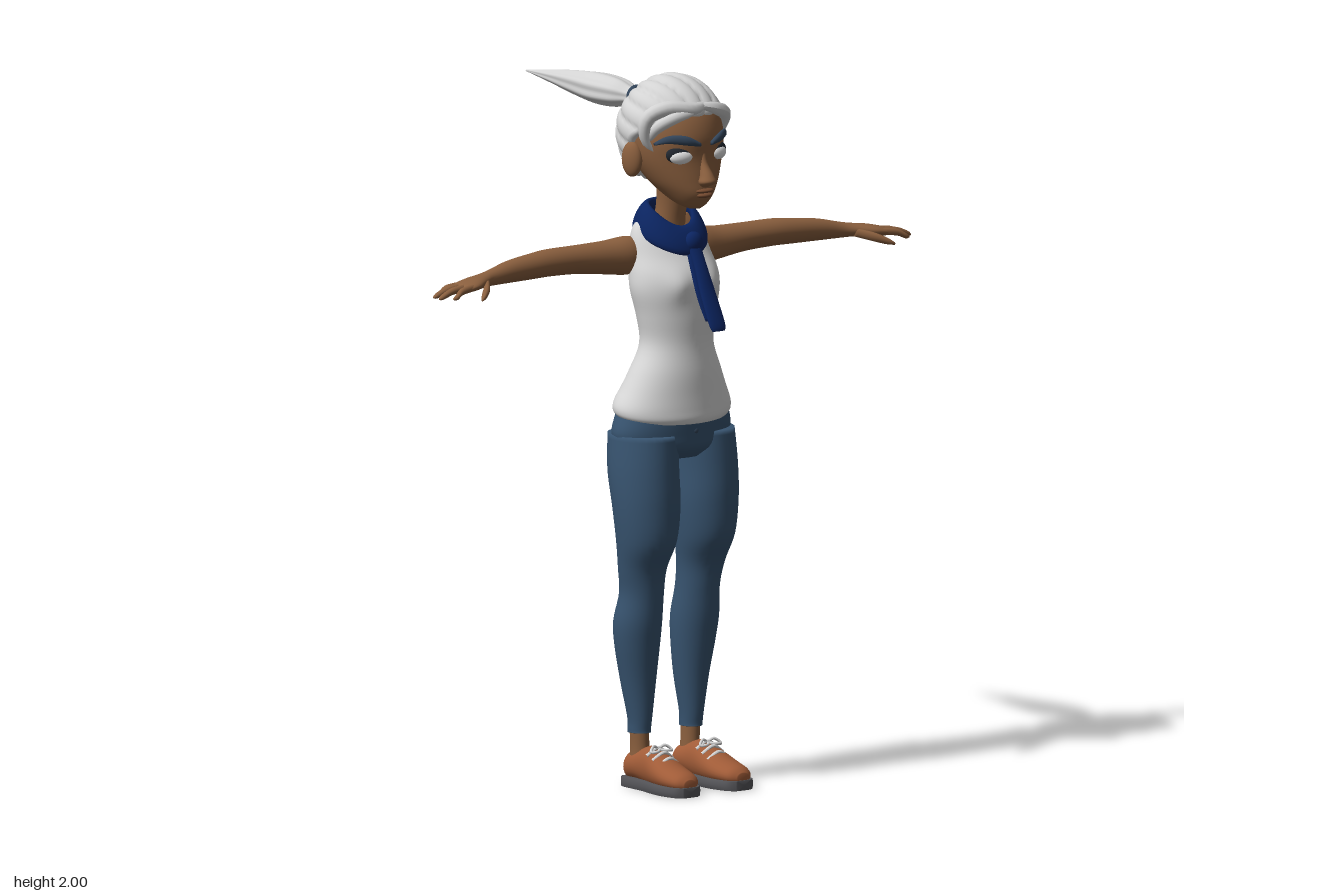
import * as THREE from 'three';

const V = (x, y, z) => new THREE.Vector3(x, y, z);
const mat = (name, color) => {
  const m = new THREE.MeshStandardMaterial({ color });
  m.name = name;
  return m;
};

// Smooth surface from a rule f(u, v): u wraps around, v runs along (and may wrap)
function grid(nu, nv, f, wrapV = false) {
  const pos = [], idx = [], rows = wrapV ? nv : nv + 1;
  for (let j = 0; j < rows; j++)
    for (let i = 0; i < nu; i++) pos.push(...f(i / nu, j / nv).toArray());
  for (let j = 0; j < nv; j++)
    for (let i = 0; i < nu; i++) {
      const k = (i + 1) % nu, a = j * nu, b = ((j + 1) % rows) * nu;
      idx.push(a + i, a + k, b + k, a + i, b + k, b + i);
    }
  const g = new THREE.BufferGeometry();
  g.setAttribute('position', new THREE.Float32BufferAttribute(pos, 3));
  g.setIndex(idx);
  g.computeVertexNormals();
  return g;
}

// Loft through oval sections [s, p, q, rp, rq], s rising along the axis.
// Axis y: (p, q) = (x, z); axis x: (z, y); axis z: (y, x).
function loft(rings, { axis = 'y', seg = 28, steps = 5, ridge = 0, count = 7, warp } = {}) {
  const n = rings.length - 1, rows = n * steps;
  const at = t => {
    const i = Math.min(Math.floor(t), n - 1), f = t - i;
    const [a, b, c, d] = [-1, 0, 1, 2].map(o => rings[Math.max(0, Math.min(n, i + o))]);
    return b.map((_, k) => b[k] + 0.5 * f * (c[k] - a[k] + f * (2 * a[k] - 5 * b[k] + 4 * c[k] - d[k]
      + f * (3 * (b[k] - c[k]) + d[k] - a[k]))));
  };
  return grid(seg, rows + 2, (u, v) => {
    const j = Math.round(v * (rows + 2)) - 1, a = u * Math.PI * 2;
    const r = at(Math.max(0, Math.min(rows, j)) / steps);
    const k = j < 0 || j > rows ? 0 : 1 + ridge * Math.cos(a * count);
    const p = r[1] + k * r[3] * Math.sin(a), q = r[2] + k * r[4] * Math.cos(a);
    const w = axis === 'y' ? V(p, r[0], q) : axis === 'x' ? V(r[0], q, p) : V(q, p, r[0]);
    if (warp) warp(w);
    return w;
  });
}

// Tapered lock or cord along a curve
function lock(points, radius, taper = true) {
  const path = new THREE.CatmullRomCurve3(points.map(p => V(...p))), n = 20, m = 10;
  const g = new THREE.TubeGeometry(path, n, radius, m), pos = g.attributes.position;
  for (let i = 0; taper && i < pos.count; i++) {
    const t = Math.floor(i / (m + 1)) / n, c = path.getPointAt(t), v = V().fromBufferAttribute(pos, i);
    v.sub(c).multiplyScalar(0.05 + 0.95 * Math.pow(Math.sin(Math.PI * t), 0.6)).add(c);
    pos.setXYZ(i, v.x, v.y, v.z);
  }
  g.computeVertexNormals();
  return g;
}

const ball = (x, y, z, rx, ry, rz, yaw = 0) =>
  new THREE.SphereGeometry(1, 24, 16).scale(rx, ry, rz).rotateY(yaw).translate(x, y, z);

function mirrored(g) {
  const m = g.clone(), p = m.attributes.position, ix = m.index.array;
  for (let i = 0; i < p.count; i++) p.setX(i, -p.getX(i));
  for (let i = 0; i < ix.length; i += 3) [ix[i], ix[i + 1]] = [ix[i + 1], ix[i]];
  m.computeVertexNormals();
  return m;
}

export function createModel() {
  const model = new THREE.Group();
  const skin = mat('skin', 0x8a5f3e), lipTone = mat('lip', 0x744a30), white = mat('eye white', 0xe6e6e6);
  const hairTone = mat('silver hair', 0xd2d2d2), slate = mat('slate', 0x33455a), dark = mat('lash', 0x20262e);
  const cloth = mat('white cloth', 0xd8d8d8), denim = mat('denim', 0x385470);
  const navy = mat('navy', 0x0b2460), leather = mat('tan leather', 0xa15c38);
  const sole = slate.clone();
  sole.name = 'grey rubber';
  sole.color.set(0x56565a);
  dark.color.set(0x20262e);
  const add = (name, g, m) => {
    const mesh = new THREE.Mesh(g, m);
    mesh.name = name;
    model.add(mesh);
  };
  const pair = (name, g, m) => {
    add('left' + name, g, m);
    add('right' + name, mirrored(g), m);
  };

  // Head and face
  add('head', loft([[1.636, 0, .32, .018, .02], [1.65, 0, .308, .045, .046], [1.68, 0, .288, .073, .082],
    [1.72, 0, .265, .103, .104], [1.78, 0, .24, .131, .125], [1.84, 0, .228, .138, .142],
    [1.9, 0, .22, .125, .132], [1.95, 0, .22, .085, .09], [1.975, 0, .22, .02, .02]], { seg: 36 }), skin);
  add('nose', loft([[1.7, 0, .366, .01, .008], [1.715, 0, .378, .025, .025], [1.735, 0, .375, .019, .021],
    [1.77, 0, .36, .011, .012], [1.81, 0, .356, .009, .008]], { seg: 18 }), skin);
  add('upperLip', ball(0, 1.69, .365, .03, .007, .018), lipTone);
  add('lowerLip', ball(0, 1.677, .363, .026, .008, .018), lipTone);
  pair('Ear', ball(.142, 1.775, .222, .02, .05, .032, -.3), skin);
  pair('Lash', ball(.067, 1.794, .338, .04, .025, .017, .35), dark);
  pair('Eye', ball(.067, 1.788, .344, .034, .02, .016, .35), white);
  pair('Brow', loft([[.02, .37, 1.822, .008, .006], [.06, .361, 1.835, .009, .013], [.1, .331, 1.838, .009, .011],
    [.124, .3, 1.825, .006, .004]], { axis: 'x', seg: 14 }), slate);
  add('neck', loft([[1.52, 0, .2, .06, .055], [1.58, 0, .21, .046, .046], [1.64, 0, .222, .042, .045],
    [1.72, 0, .235, .05, .05]]), skin);

  // Swept-back hair: strands radiate from the tie towards the hairline
  const P = V(0, .485, -.875), U = V(0, .875, .485), X = V(1, 0, 0);
  add('hair', grid(144, 36, (u, v) => {
    const l = u * Math.PI * 2, edge = (98 + 33 * Math.pow(Math.max(0, Math.cos(l)), 1.2)) * Math.PI / 180;
    const th = edge * (1 - v), d = V(0, 0, 0).addScaledVector(P, Math.cos(th))
      .addScaledVector(U, Math.sin(th) * Math.cos(l)).addScaledVector(X, Math.sin(th) * Math.sin(l));
    const strand = Math.abs(Math.sin(l * 9 + Math.sin(th * 2.2) * .9));
    const r = (.955 + .06 * Math.sqrt(strand) * Math.sin(Math.min(th * 1.4, 1.57))) * (v < .02 ? .86 : v < .04 ? .96 : 1);
    return V(d.x * .153 * r, 1.84 + d.y * .16 * r, .22 + d.z * .153 * r);
  }), hairTone);
  add('frontLock', lock([[.05, 1.93, .33], [-.03, 1.92, .35], [-.1, 1.925, .325], [-.15, 1.9, .3],
    [-.152, 1.84, .29], [-.13, 1.805, .3]], .022), hairTone);
  add('innerCurl', lock([[-.03, 1.91, .36], [-.09, 1.9, .345], [-.125, 1.87, .31], [-.13, 1.83, .28]], .018), hairTone);
  add('sideLock', lock([[-.02, 1.93, .345], [.05, 1.915, .35], [.11, 1.89, .315], [.142, 1.84, .265],
    [.138, 1.8, .25]], .02), hairTone);
  add('ponytail', loft([[-.415, 1.925, 0, .002, .002], [-.3, 1.924, 0, .018, .021], [-.18, 1.922, -.003, .034, .041],
    [-.08, 1.92, -.006, .042, .055], [0, 1.918, -.005, .038, .047], [.05, 1.915, 0, .024, .029],
    [.09, 1.912, 0, .02, .02]], { axis: 'z', seg: 56, ridge: .06 }), hairTone);
  add('hairTie', new THREE.TorusGeometry(.023, .011, 12, 28).translate(0, 1.915, .068), slate);

  // Chest and sleeveless top
  const torso = [[1.03, 0, .222, .178, .114], [1.045, 0, .222, .187, .119], [1.07, 0, .222, .187, .118],
    [1.11, 0, .224, .172, .114], [1.17, 0, .234, .144, .102], [1.25, 0, .242, .112, .088], [1.33, 0, .241, .122, .094],
    [1.4, 0, .235, .138, .101], [1.45, 0, .228, .137, .1], [1.5, 0, .213, .127, .086], [1.55, 0, .201, .119, .069],
    [1.585, 0, .196, .104, .05], [1.602, 0, .195, .08, .038]];
  add('chest', loft(torso.slice(7).map(([s, p, q, a, b]) => [s, p, q, a * .965, b * .965])), skin);
  add('tankTop', loft(torso, {
    seg: 56, warp: v => {
      const front = v.z > .2;
      if (front) v.z += .012 * Math.exp(-(((Math.abs(v.x) - .062) / .035) ** 2) - ((v.y - 1.42) / .04) ** 2);
      if (v.y < 1.12) v.y += .035 * (.34 - v.z) / .23 * (1.12 - v.y) / .09;
      v.y = Math.min(v.y, 1.61 - (front ? .1 : .085) * Math.exp(-((v.x / .065) ** 4)));
    },
  }), cloth);

  // Neckerchief: slanted collar, knot and hanging end
  add('scarfCollar', grid(48, 16, (u, v) => {
    const t = u * Math.PI * 2, c = v * Math.PI * 2;
    const thin = .015 * Math.cos(c), long = .044 * Math.sin(c), out = .9 * thin - .45 * long;
    const y = 1.605 - .065 * ((1 + Math.cos(t)) / 2) ** 2;
    return V(Math.sin(t) * (.084 + out), y + .45 * thin + .9 * long, .215 + Math.cos(t) * (.076 + out));
  }, true), navy);
  add('scarfKnot', ball(.012, 1.535, .302, .03, .03, .022), navy);
  add('scarfEnd', loft([[1.298, .018, .406, .022, .005], [1.32, .018, .397, .028, .009], [1.4, .016, .36, .026, .012],
    [1.48, .013, .327, .021, .014], [1.55, .01, .29, .025, .015]], { seg: 20 }), navy);
  add('scarfUnderEnd', loft([[1.325, .006, .385, .018, .005], [1.4, .005, .352, .024, .008],
    [1.53, .008, .298, .02, .012]], { seg: 16 }), navy);

  // Arms and hands
  pair('Arm', loft([[.09, .18, 1.5, .038, .045], [.13, .177, 1.497, .046, .054], [.2, .17, 1.497, .045, .047],
    [.3, .168, 1.502, .041, .04], [.4, .17, 1.504, .04, .038], [.46, .175, 1.502, .036, .036],
    [.55, .182, 1.497, .03, .031], [.62, .192, 1.49, .024, .023], [.66, .201, 1.487, .029, .019],
    [.71, .214, 1.483, .042, .017], [.75, .218, 1.477, .041, .013], [.762, .218, 1.475, .03, .006]], { axis: 'x' }), skin);
  [['Index', .247, .815, .264], ['Middle', .229, .843, .236], ['Ring', .209, .84, .207], ['Little', .19, .805, .18]]
    .forEach(([n, z, tip, zTip]) => {
      const m = (.74 + tip) / 2;
      pair(n + 'Finger', loft([[.725, z, 1.48, .009, .01], [m, (z + zTip) / 2, 1.475, .01, .01],
        [tip - .012, zTip, 1.463, .008, .008], [tip, zTip, 1.459, .003, .003]], { axis: 'x', seg: 12 }), skin);
    });
  pair('Thumb', loft([[.655, .215, 1.483, .012, .012], [.69, .256, 1.472, .014, .013], [.72, .282, 1.46, .011, .01],
    [.738, .295, 1.452, .004, .004]], { axis: 'x', seg: 14 }), skin);

  // Jeans
  add('jeansHips', loft([[.93, 0, .226, .1, .07], [.96, 0, .224, .17, .1], [1.0, 0, .219, .193, .111],
    [1.05, 0, .222, .182, .112], [1.08, 0, .223, .17, .105]], { seg: 40 }), denim);
  pair('JeansLeg', loft([[.155, .0925, .193, .031, .035], [.165, .0925, .193, .031, .035], [.2, .0925, .195, .034, .037],
    [.3, .095, .191, .05, .05], [.4, .1, .193, .064, .062], [.47, .102, .198, .068, .068], [.55, .1, .212, .062, .063],
    [.62, .104, .221, .068, .068], [.7, .104, .239, .083, .087], [.8, .104, .238, .094, .097],
    [.9, .105, .226, .095, .107], [1, .1, .219, .092, .109]]), denim);
  add('jeansButton', ball(0, 1.01, .329, .008, .008, .004), slate);

  // Ankles and lace-up shoes
  pair('Ankle', loft([[.05, .09, .193, .03, .036], [.11, .09, .192, .025, .03], [.18, .0925, .193, .026, .03]]), skin);
  const shoe = [[.147, .05, .088, .025, .022], [.16, .058, .087, .038, .034], [.2, .064, .087, .044, .039],
    [.25, .066, .087, .056, .042], [.3, .055, .09, .048, .049], [.35, .045, .092, .036, .052],
    [.4, .038, .094, .026, .042], [.42, .034, .095, .014, .02]];
  pair('Shoe', loft(shoe, { axis: 'z', warp: v => { v.y = Math.max(v.y, .02); } }), leather);
  pair('Sole', loft(shoe.map(([z, , x, , r]) => [z + (z - .28) * .03, .014, x, .06, r + .005]),
    { axis: 'z', warp: v => { v.y = Math.max(0, Math.min(.028, v.y)); } }), sole);
  [[.265, .117], [.29, .107], [.315, .094]].forEach(([z, y], i) => pair('Lace' + (i + 1),
    lock([[.052, y - .018, z], [.088, y + .002, z + .006], [.126, y - .018, z]], .005, false), cloth));
  [-1, 1].forEach(s => pair(s < 0 ? 'InnerBow' : 'OuterBow', lock([[.088, .117, .27], [.088 + s * .02, .126, .275],
    [.088 + s * .037, .112, .285], [.088 + s * .018, .113, .292], [.088, .115, .275]], .004, false), cloth));
  return model;
}
